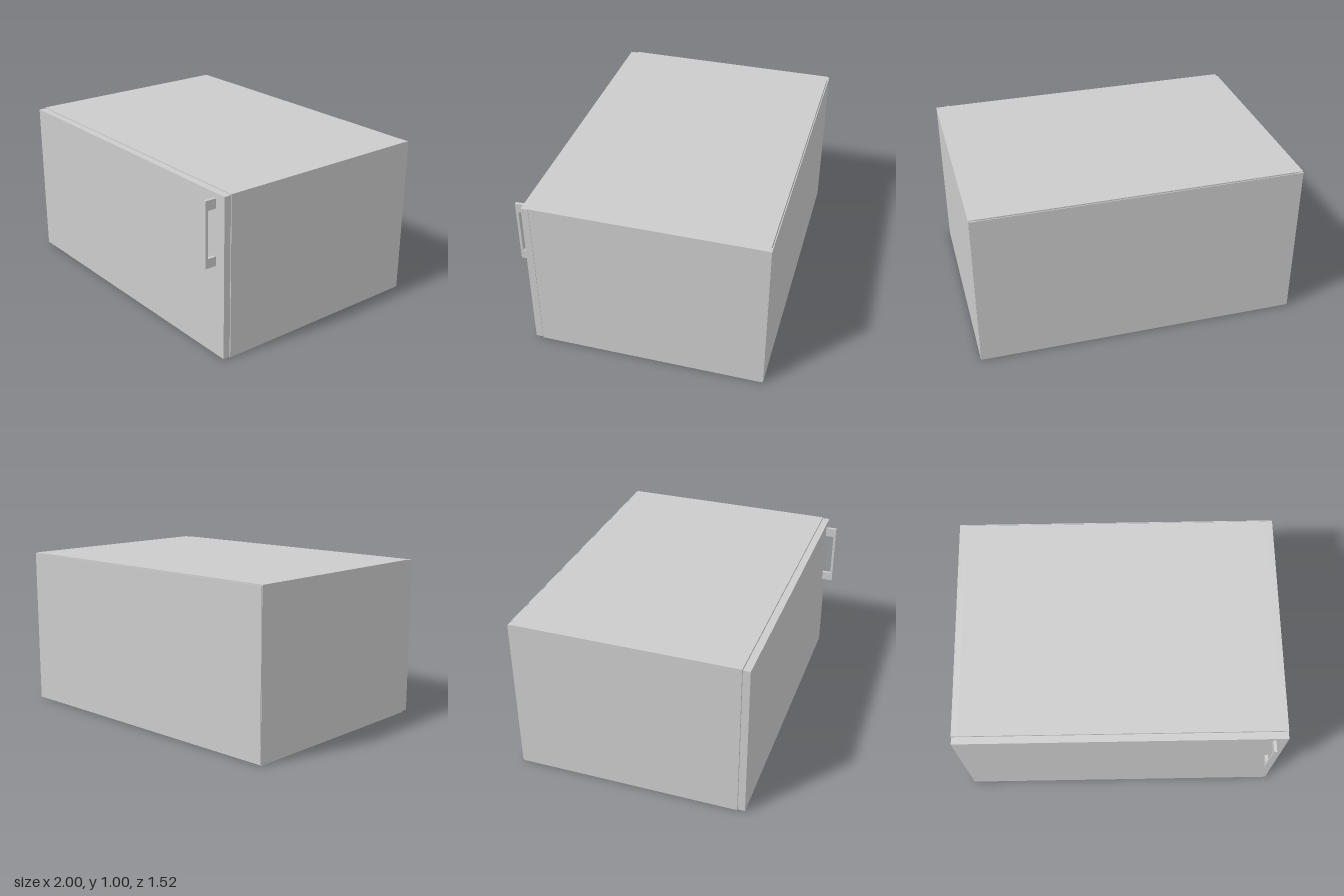
import * as THREE from 'three';

const grey = new THREE.MeshStandardMaterial({ color: 0xcccccc });

// Box given by its min and max corners
function panel(name, [x0, y0, z0], [x1, y1, z1]) {
  const mesh = new THREE.Mesh(new THREE.BoxGeometry(x1 - x0, y1 - y0, z1 - z0), grey);
  mesh.position.set((x0 + x1) / 2, (y0 + y1) / 2, (z0 + z1) / 2);
  mesh.name = name;
  return mesh;
}

// Bracket handle: profile in (z, y), extruded along x
function createHandle() {
  const back = 0.688, front = 0.76, inner = 0.745, r = 0.008;
  const low = 0.565, high = 0.965, holeLow = 0.622, holeHigh = 0.906;
  const width = 0.018;
  const s = new THREE.Shape();
  s.moveTo(back, low);
  s.lineTo(front, low);
  s.lineTo(front, high);
  s.lineTo(back, high);
  s.lineTo(back, holeHigh);
  s.lineTo(inner - r, holeHigh);
  s.quadraticCurveTo(inner, holeHigh, inner, holeHigh - r);
  s.lineTo(inner, holeLow + r);
  s.quadraticCurveTo(inner, holeLow, inner - r, holeLow);
  s.lineTo(back, holeLow);
  s.closePath();
  const geo = new THREE.ExtrudeGeometry(s, { depth: width, bevelEnabled: false, curveSegments: 5 });
  geo.rotateY(-Math.PI / 2); // profile x -> z, extrusion -> -x
  const mesh = new THREE.Mesh(geo, grey);
  mesh.position.x = 0.926;
  mesh.name = 'handle';
  return mesh;
}

export function createModel() {
  const group = new THREE.Group();
  group.name = 'cabinet';
  const t = 0.04, back = -0.75, front = 0.643;

  // Carcass: side walls with top and bottom between them
  for (const [side, s] of [['left', 1], ['right', -1]]) {
    const x0 = s > 0 ? 1 - t : -1, x1 = x0 + t;
    group.add(panel(side + 'Wall', [x0, 0, back], [x1, 1, front]));
    // Strip holding the back panel off the carcass
    group.add(panel(side + 'BackStrip', [x0, 0.005, -0.756], [x1, 0.995, back]));
  }
  group.add(panel('bottom', [-1 + t, 0, back], [1 - t, t, front]));
  group.add(panel('top', [-1 + t, 1 - t, back], [1 - t, 1, front]));

  // Thin back panel, and door standing just off the front edge
  group.add(panel('backPanel', [-0.998, 0.005, -0.76], [0.998, 0.995, -0.755]));
  group.add(panel('door', [-0.998, 0.006, 0.646], [0.998, 0.995, 0.69]));
  group.add(createHandle());
  return group;
}
